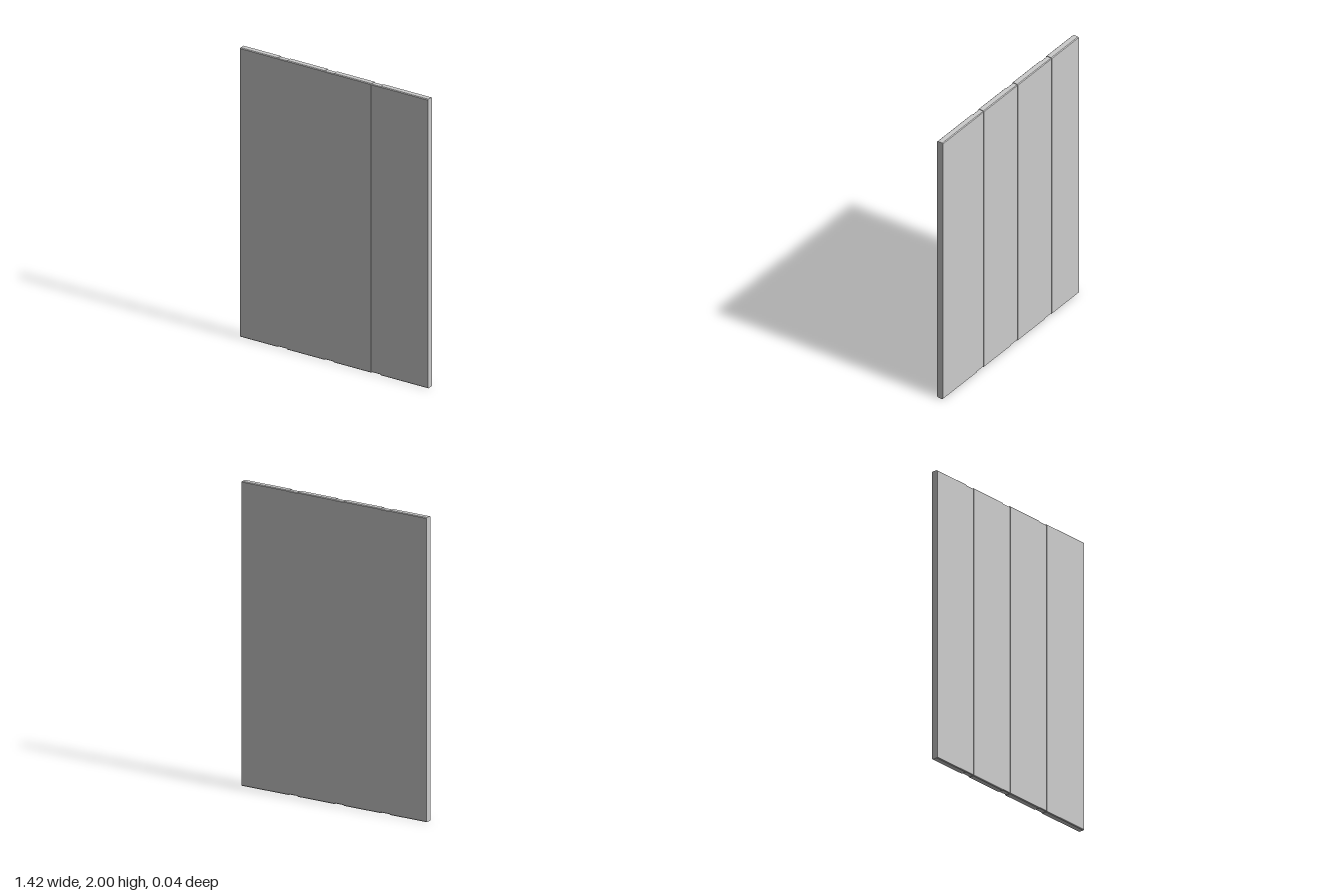
import * as THREE from 'three';

const material = new THREE.MeshStandardMaterial({ color: 0xcccccc, flatShading: true });

// Slab running from x0 to x1 with small chamfers along its top and bottom edges
function slab(name, x0, x1, y0, y1, halfDepth, chamfer) {
  const d = halfDepth, c = chamfer;
  const profile = new THREE.Shape([
    [-d, y0 + c], [-d + c, y0], [d - c, y0], [d, y0 + c],
    [d, y1 - c], [d - c, y1], [-d + c, y1], [-d, y1 - c],
  ].map(([z, y]) => new THREE.Vector2(z, y)));
  const geometry = new THREE.ExtrudeGeometry(profile, { depth: x1 - x0, bevelEnabled: false });
  // Profile x becomes -z, extrusion runs along +x
  geometry.rotateY(Math.PI / 2).translate(x0, 0, 0);
  const mesh = new THREE.Mesh(geometry, material);
  mesh.name = name;
  return mesh;
}

export function createModel() {
  const panel = new THREE.Group();
  panel.name = 'plankPanel';

  // Full-thickness planks
  const planks = [[-0.712, -0.43], [-0.358, -0.075], [-0.004, 0.279], [0.35, 0.71]];
  planks.forEach(([x0, x1], i) => {
    panel.add(slab(`plank${i + 1}`, x0, x1, 0, 2, 0.022, 0.005));
  });

  // Slightly recessed joining strips between neighbouring planks
  for (let i = 0; i < planks.length - 1; i++) {
    panel.add(slab(`joint${i + 1}`, planks[i][1], planks[i + 1][0], 0.004, 1.996, 0.019, 0.004));
  }
  return panel;
}
